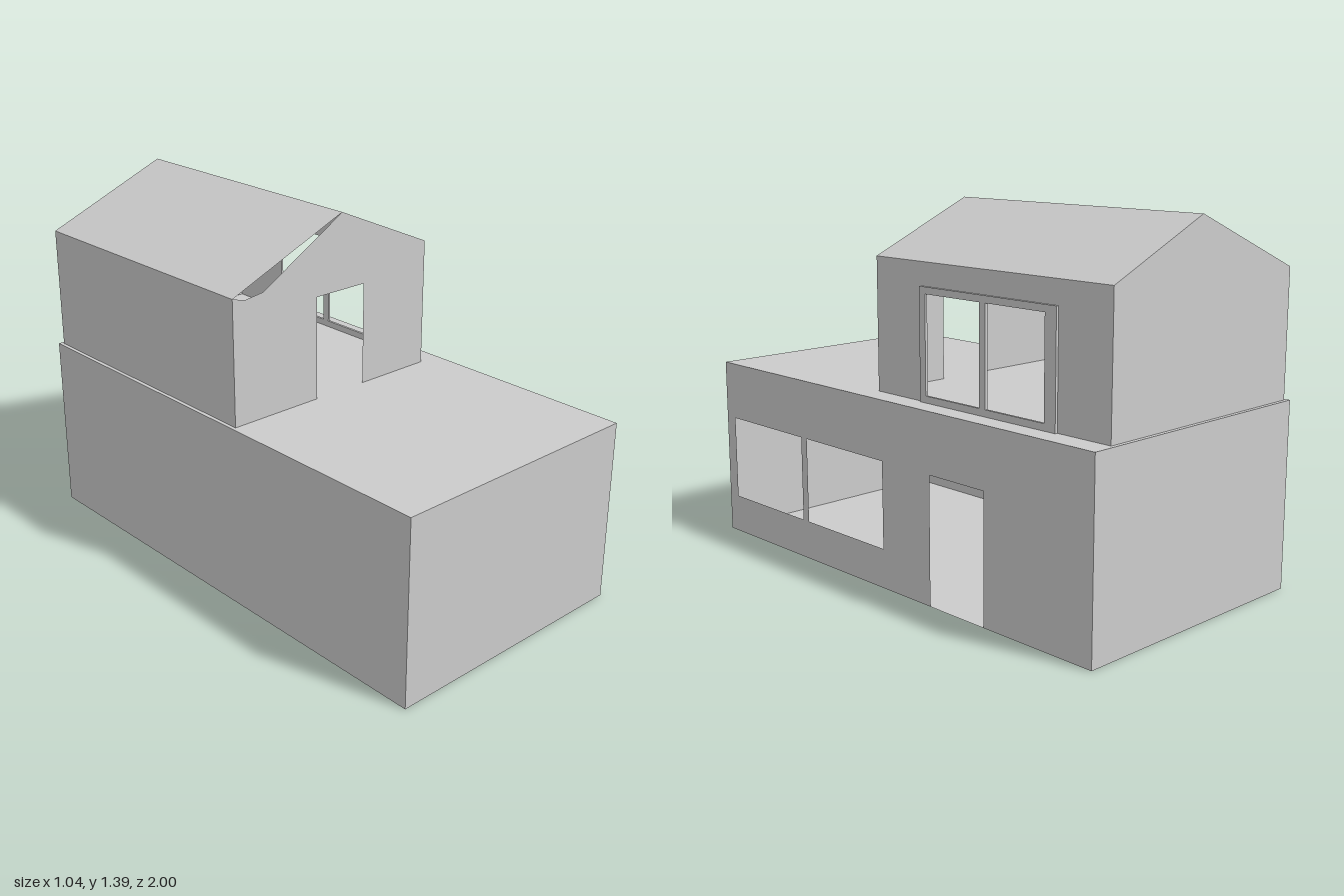
import * as THREE from 'three';

const material = new THREE.MeshStandardMaterial({ color: 0xcccccc, flatShading: true, side: THREE.DoubleSide });

// Shape from outline points, with rectangular holes [u0, v0, u1, v1]
function makeShape(points, holes = []) {
  const shape = new THREE.Shape(points.map(([u, v]) => new THREE.Vector2(u, v)));
  for (const [a, b, c, d] of holes) {
    shape.holes.push(new THREE.Path([[a, b], [a, d], [c, d], [c, b]].map(([u, v]) => new THREE.Vector2(u, v))));
  }
  return shape;
}

const rect = (a, b, c, d) => [[a, b], [c, b], [c, d], [a, d]];

function add(group, name, geometry) {
  const mesh = new THREE.Mesh(geometry, material);
  mesh.name = name;
  group.add(mesh);
  return mesh;
}

// Thin wall in the xy plane at a given z
function crossWall(group, name, z, points, holes) {
  add(group, name, new THREE.ShapeGeometry(makeShape(points, holes))).position.z = z;
}

// Thin wall facing sideways at a given x; u runs along -z
function sideWall(group, name, x, points, holes) {
  const wall = add(group, name, new THREE.ShapeGeometry(makeShape(points, holes)));
  wall.rotation.y = Math.PI / 2;
  wall.position.x = x;
}

// Flat panel spanning two x,y points, running from z0 to z1
function panel(group, name, [xa, ya], [xb, yb], z0, z1) {
  const mesh = add(group, name, new THREE.PlaneGeometry(Math.hypot(xb - xa, yb - ya), z1 - z0));
  mesh.geometry.rotateX(-Math.PI / 2);
  mesh.rotation.z = Math.atan2(yb - ya, xb - xa);
  mesh.position.set((xa + xb) / 2, (ya + yb) / 2, (z0 + z1) / 2);
}

export function createModel() {
  const house = new THREE.Group();
  house.name = 'house';

  // Ground storey: long box with two windows and a doorway on one side
  const lower = new THREE.Group();
  lower.name = 'groundStorey';
  house.add(lower);
  const W = 0.52, H = 0.705;
  panel(lower, 'groundFloor', [-W, 0], [W, 0], -1, 1);
  panel(lower, 'terrace', [-W, H], [W, H], -1, 1);
  crossWall(lower, 'lowerFrontWall', 1, rect(-W, 0, W, H));
  crossWall(lower, 'lowerBackWall', -1, rect(-W, 0, W, H));
  sideWall(lower, 'lowerBlankWall', -W, rect(-1, 0, 1, H));
  sideWall(lower, 'lowerWindowWall', W,
    [[-1, 0], [0.245, 0], [0.245, 0.48], [0.515, 0.48], [0.515, 0], [1, 0], [1, H], [-1, H]],
    [[-0.945, 0.15, -0.495, 0.48], [-0.46, 0.15, -0.01, 0.48]]);

  // Upper storey: gabled room set toward the back
  const upper = new THREE.Group();
  upper.name = 'upperStorey';
  house.add(upper);
  const L = -0.505, R = 0.43, front = 0.13, back = -0.985;
  const eaveL = [L, 1.18], eaveR = [R, 1.2], ridge = [0, 1.39];
  const panes = [[0.14, 0.73, 0.41, 1.09], [0.44, 0.73, 0.71, 1.09]];

  crossWall(upper, 'upperBackWall', back, [[L, H], [R, H], eaveR, ridge, eaveL]);
  // Front gable with a doorway and a narrow gap below the left roof edge
  crossWall(upper, 'upperFrontWall', front,
    [[L, H], [-0.122, H], [-0.122, 1.1], [0.11, 1.1], [0.11, H], [R, H], eaveR, ridge,
      [-0.37, 1.175], [-0.45, 1.165], eaveL]);
  sideWall(upper, 'upperBlankWall', L, rect(-front, H, -back, eaveL[1]));
  sideWall(upper, 'upperWindowWall', R, rect(-front, H, -back, eaveR[1]), panes);
  panel(upper, 'roofLeft', eaveL, ridge, back, front);
  panel(upper, 'roofRight', ridge, eaveR, back, front);

  // Raised double window frame
  const frame = add(upper, 'windowFrame', new THREE.ExtrudeGeometry(
    makeShape(rect(0.11, H, 0.76, 1.115), panes), { depth: 0.01, bevelEnabled: false }));
  frame.rotation.y = Math.PI / 2;
  frame.position.x = R;

  return house;
}
